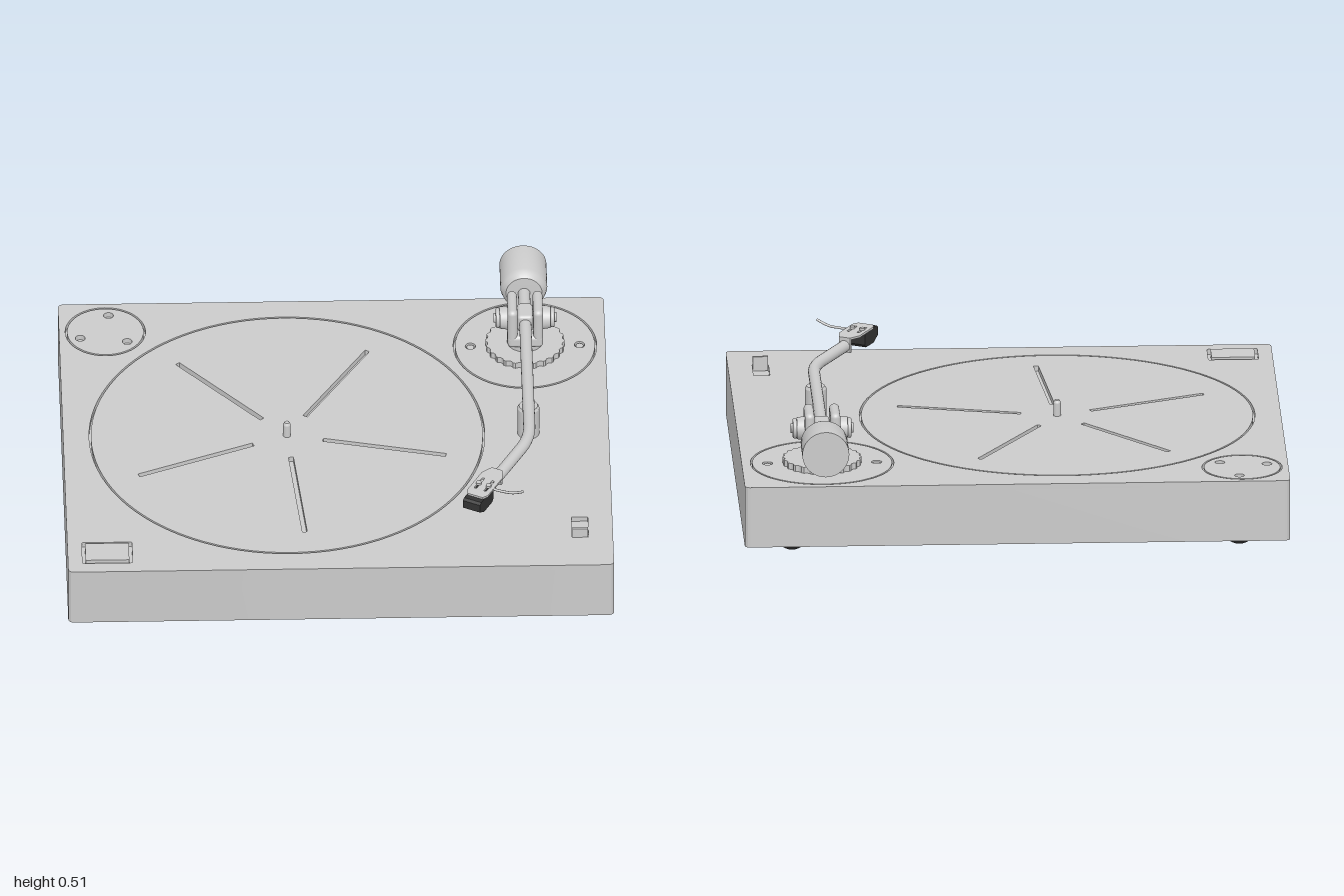
import * as THREE from 'three';
import { toCreasedNormals } from 'three/addons/utils/BufferGeometryUtils.js';
import { RoundedBoxGeometry } from 'three/addons/geometries/RoundedBoxGeometry.js';

const TOP = 0.295, RECESS = 0.02, ARM_X = 0.705, ARM_Y = 0.427, PIVOT_Z = -0.515;

export function createModel() {
  const model = new THREE.Group();
  const grey = new THREE.MeshStandardMaterial({ color: 0xcccccc });
  const black = new THREE.MeshStandardMaterial({ color: 0x333333 });

  function add(name, geometry, [x, y, z] = [0, 0, 0], parent = model, material = grey) {
    const mesh = new THREE.Mesh(geometry, material);
    mesh.name = name;
    mesh.position.set(x, y, z);
    parent.add(mesh);
    return mesh;
  }

  // Outlines are drawn in plan: shape x = x, shape y = z
  const circle = (x, z, r) => new THREE.Shape().absarc(x, z, r, 0, Math.PI * 2);
  function roundRect(x0, z0, x1, z1, r) {
    return new THREE.Shape()
      .absarc(x1 - r, z1 - r, r, 0, Math.PI / 2)
      .absarc(x0 + r, z1 - r, r, Math.PI / 2, Math.PI)
      .absarc(x0 + r, z0 + r, r, Math.PI, Math.PI * 1.5)
      .absarc(x1 - r, z0 + r, r, Math.PI * 1.5, Math.PI * 2);
  }
  function slab(shape, depth, holes = []) {
    shape.holes = holes;
    const g = new THREE.ExtrudeGeometry(shape, { depth, bevelEnabled: false, curveSegments: 48 });
    return toCreasedNormals(g.rotateX(Math.PI / 2), 0.5);
  }
  const cyl = (r0, r1, h, n = 32) => new THREE.CylinderGeometry(r1, r0, h, n);

  // Plinth, with a top plate cut out for the inset parts
  const outline = () => roundRect(-1, -0.81, 1, 0.83, 0.02);
  add('plinth', slab(outline(), TOP - RECESS - 0.065), [0, TOP - RECESS, 0]);
  const gap = 0.007;
  add('topPlate', slab(outline(), RECESS, [
    circle(-0.18, 0.01, 0.725), circle(-0.83, -0.64, 0.147), circle(0.705, -0.52, 0.263),
    roundRect(-0.947, 0.65, -0.763, 0.777, 0.005), roundRect(0.85, 0.535, 0.91, 0.66, 0.003),
  ]), [0, TOP, 0]);

  // Feet: downward half spheres
  for (const x of [-0.82, 0.82]) for (const z of [-0.63, 0.665]) {
    const dome = new THREE.SphereGeometry(0.06, 32, 12, 0, Math.PI * 2, Math.PI / 2, Math.PI / 2);
    add('foot', dome, [x, 0.06, z], model, black);
    add('footCollar', cyl(0.06, 0.06, 0.006), [x, 0.063, z], model, black);
  }

  // Platter with five radial slots
  const slots = [];
  for (let i = 0; i < 5; i++) {
    const a = THREE.MathUtils.degToRad(13 + i * 72), c = Math.cos(a), s = Math.sin(a);
    const corners = [[0.135, -0.009], [0.595, -0.009], [0.595, 0.009], [0.135, 0.009]];
    slots.push(new THREE.Shape(corners.map(([r, w]) => new THREE.Vector2(r * c - w * s, r * s + w * c))));
  }
  add('platter', slab(circle(0, 0, 0.725 - gap), RECESS, slots), [-0.18, TOP, 0.01]);
  add('spindle', cyl(0.014, 0.014, 0.05, 20), [-0.18, 0.32, 0.01]);
  add('spindleTip', cyl(0.014, 0.009, 0.01, 20), [-0.18, 0.35, 0.01]);

  // Single-record adapter with three holes
  const pins = [];
  for (let i = 0; i < 3; i++) {
    const a = THREE.MathUtils.degToRad(38 + i * 120);
    pins.push(circle(0.1 * Math.cos(a), 0.1 * Math.sin(a), 0.018));
  }
  add('adapter', slab(circle(0, 0, 0.147 - gap), RECESS, pins), [-0.83, TOP, -0.64]);

  // Start button and speed slider
  add('startButton', slab(roundRect(-0.935, 0.662, -0.775, 0.765, 0.004), 0.025), [0, TOP + 0.005, 0]);
  add('speedSlider', new THREE.BoxGeometry(0.056, 0.054, 0.012), [0.88, 0.304, 0.652]);

  // Arm board, its screws and the toothed base
  const screws = [-0.2, 0.2].map(x => circle(x, 0, 0.019));
  add('armBoard', slab(circle(0, 0, 0.263 - gap), RECESS, screws), [ARM_X, TOP, -0.52]);
  for (const x of [-0.2, 0.2]) add('armBoardScrew', cyl(0.014, 0.014, 0.016, 16), [ARM_X + x, 0.283, -0.52]);
  const teeth = [];
  for (let i = 0; i < 96; i++) {
    const a = i / 96 * Math.PI * 2, r = i % 4 < 2 ? 0.145 : 0.138;
    teeth.push(new THREE.Vector2(r * Math.cos(a), r * Math.sin(a)));
  }
  const base = new THREE.Shape(teeth);
  add('toothedBase', slab(base, 0.023), [ARM_X, 0.318, -0.52]);
  add('pivotColumn', cyl(0.066, 0.066, 0.05), [ARM_X, 0.335, PIVOT_Z]);

  // Pivot yoke: bridge, two cheeks, and bearings mirrored about the arm
  const yoke = new THREE.Group();
  yoke.name = 'pivotYoke';
  yoke.position.set(ARM_X, ARM_Y, PIVOT_Z);
  model.add(yoke);
  add('yokeBridge', new RoundedBoxGeometry(0.13, 0.05, 0.145, 3, 0.015), [0, -0.063, 0], yoke);
  add('armBlock', new RoundedBoxGeometry(0.056, 0.07, 0.09, 3, 0.012), [0, 0, 0], yoke);
  for (const s of [-1, 1]) {
    add('yokeCheek', new RoundedBoxGeometry(0.036, 0.16, 0.145, 4, 0.017), [s * 0.047, -0.006, 0], yoke);
    const bearing = add('bearingCap', cyl(0.044, 0.04, 0.03), [s * 0.078, 0, 0], yoke);
    bearing.rotation.z = -s * Math.PI / 2;
    const ring = add('bearingRing', new THREE.TorusGeometry(0.03, 0.008, 10, 32), [s * 0.1, 0, 0], yoke);
    ring.rotation.y = Math.PI / 2;
    const pin = add('bearingScrew', cyl(0.02, 0.018, 0.03, 6), [s * 0.1, 0, 0], yoke);
    pin.rotation.z = -s * Math.PI / 2;
  }

  // Counterweight
  const profile = [[0, -0.84], [0.086, -0.84], [0.086, -0.7], [0.08, -0.68], [0.066, -0.665], [0, -0.662]];
  const weight = new THREE.LatheGeometry(profile.map(p => new THREE.Vector2(...p)), 48);
  add('counterweight', toCreasedNormals(weight.rotateX(Math.PI / 2), 0.5), [ARM_X, ARM_Y, 0]);

  // Tonearm tube: straight, smooth bend, straight
  const v = (x, y, z) => new THREE.Vector3(x, y, z);
  const path = new THREE.CurvePath();
  path.add(new THREE.LineCurve3(v(ARM_X, ARM_Y, -0.67), v(ARM_X, ARM_Y, 0.15)));
  path.add(new THREE.QuadraticBezierCurve3(v(ARM_X, ARM_Y, 0.15), v(ARM_X, ARM_Y, 0.225), v(0.67, ARM_Y, 0.291)));
  path.add(new THREE.LineCurve3(v(0.67, ARM_Y, 0.291), v(0.573, ARM_Y, 0.474)));
  add('tonearm', new THREE.TubeGeometry(path, 80, 0.022, 20));

  // Arm rest post
  add('armRest', cyl(0.04, 0.04, 0.115), [ARM_X, 0.3525, 0.015]);
  add('armRestTop', cyl(0.04, 0.034, 0.01), [ARM_X, 0.415, 0.015]);

  // Headshell, built along its own +z
  const head = new THREE.Group();
  head.name = 'headshell';
  head.position.set(0.575, ARM_Y, 0.468);
  head.rotation.y = -0.487;
  model.add(head);
  const plan = [[-0.022, -0.012], [0.022, -0.012], [0.042, 0.03], [0.042, 0.15], [0.03, 0.17], [-0.03, 0.17], [-0.042, 0.15], [-0.042, 0.03]];
  const slits = [-0.02, 0.02].map(x => roundRect(x - 0.005, 0.06, x + 0.005, 0.13, 0.004));
  add('headshellPlate', slab(new THREE.Shape(plan.map(p => new THREE.Vector2(...p))), 0.008, slits), [0, 0.035, 0], head);
  add('headshellCollar', new THREE.BoxGeometry(0.046, 0.054, 0.012), [0, 0.004, -0.004], head);
  for (const x of [-0.02, 0.02]) add('cartridgeScrew', cyl(0.01, 0.01, 0.01, 12), [x, 0.038, 0.1], head);

  // Cartridge: side outline with a chamfered underside, extruded across
  const side = [[0.09, 0.027], [0.09, -0.02], [0.1, -0.031], [0.165, -0.031], [0.2, -0.012], [0.2, 0.02], [0.19, 0.027]];
  const cartridge = new THREE.ExtrudeGeometry(new THREE.Shape(side.map(p => new THREE.Vector2(...p))), { depth: 0.07, bevelEnabled: false });
  add('cartridge', cartridge.rotateY(-Math.PI / 2), [0.035, 0, 0], head, black);

  // Finger lift: slim hook curving outwards
  const hook = new THREE.CatmullRomCurve3([v(0.035, 0.03, 0.1), v(0.07, 0.03, 0.098), v(0.115, 0.034, 0.094), v(0.16, 0.052, 0.09)]);
  add('fingerLift', new THREE.TubeGeometry(hook, 24, 0.005, 8), [0, 0, 0], head);

  return model;
}
